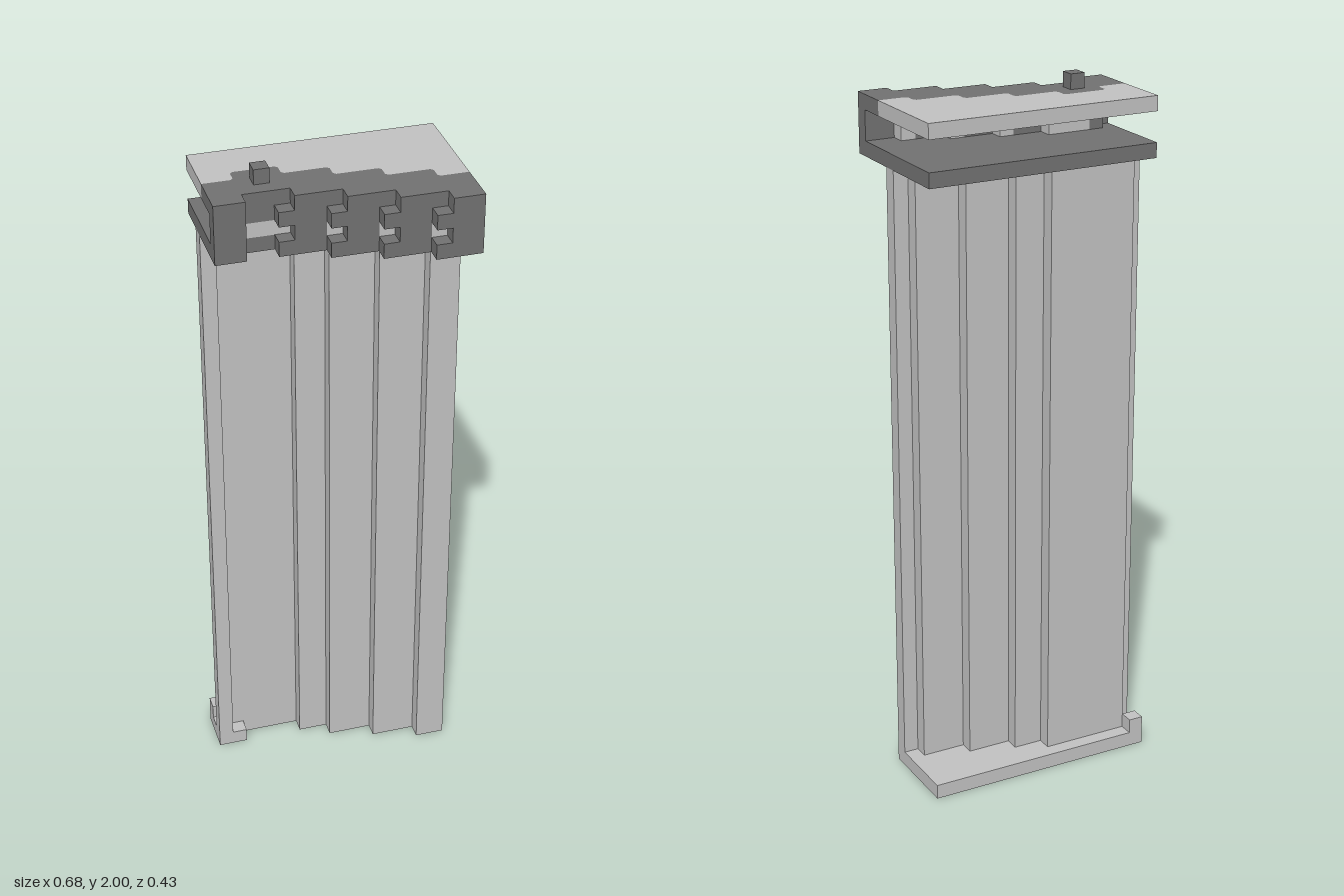
import * as THREE from 'three';

const U = 2 / 47; // one block: the model is 16 wide, 47 high, 10 deep

export function createModel() {
  const group = new THREE.Group();
  const light = new THREE.MeshStandardMaterial({ color: 0xbfbfbf });
  light.name = 'light grey';
  const dark = new THREE.MeshStandardMaterial({ color: 0x707070 });
  dark.name = 'dark grey';

  const add = (name, geo, mat) => {
    const mesh = new THREE.Mesh(geo, mat);
    mesh.name = name;
    group.add(mesh);
  };

  // box between block coordinates
  const box = (name, mat, x0, x1, y0, y1, z0, z1) => {
    const geo = new THREE.BoxGeometry((x1 - x0) * U, (y1 - y0) * U, (z1 - z0) * U);
    geo.translate(((x0 + x1) / 2 - 8) * U, ((y0 + y1) / 2) * U, ((z0 + z1) / 2 - 5) * U);
    add(name, geo, mat);
  };

  // stepped line across the width; each step is [end x, z], with optional cut corners
  const steps = (list, cut = 0) => {
    const pts = [[0, list[0][1]]];
    list.forEach(([x, z], k) => {
      if (k === list.length - 1) { pts.push([x, z]); return; }
      const next = list[k + 1][1], s = Math.sign(next - z) * cut;
      pts.push([x - cut, z]);
      if (cut) pts.push([x, z + s], [x, next - s]);
      pts.push([x + cut, next]);
    });
    return pts;
  };

  // flat slab between a back line and a front line
  const slab = (name, mat, y, back, front) => {
    const pts = [...front, ...[...back].reverse()];
    const shape = new THREE.Shape(pts.map(([x, z]) => new THREE.Vector2((x - 8) * U, (5 - z) * U)));
    const geo = new THREE.ExtrudeGeometry(shape, { depth: U, bevelEnabled: false });
    geo.rotateX(-Math.PI / 2);
    geo.translate(0, y * U, 0);
    add(name, geo, mat);
  };

  const rear = [[0, 0], [16, 0]];

  // base plate with a small corner block
  slab('basePlate', light, 0, rear, steps([[2, 3], [6, 2], [8, 3], [11, 4], [14, 5], [16, 6]]));
  box('baseCornerBlock', light, 0, 1, 1, 2, 0, 1);

  // tall stepped wall: x start, x end, back z
  for (const [x0, x1, z] of [[0, 1, 2], [1, 7, 1], [6, 9, 2], [8, 12, 3], [11, 15, 4], [14, 16, 5]])
    box('wallPanel', light, x0, x1, 1, 42, z, z + 1);

  // head floor
  slab('headFloor', dark, 42, rear, steps([[2, 7], [4, 6], [7, 7], [10, 8], [13, 9], [16, 10]]));

  // head front: lower course with openings backed by light blocks
  for (const [x0, x1, z] of [[0, 2, 6], [1, 2, 5], [5, 7, 6], [8, 10, 7], [11, 13, 8], [14, 16, 9]])
    box('headLowerCourse', dark, x0, x1, 43, 44, z, z + 1);
  for (const [x0, x1, z] of [[2, 5, 5], [7, 8, 6], [10, 11, 7], [13, 14, 8]])
    box('windowBlock', light, x0, x1, 43, 44, z, z + 1);

  // head front: upper course
  for (const [x0, x1, z] of [[0, 2, 6], [1, 5, 5], [4, 8, 6], [7, 11, 7], [10, 14, 8], [13, 16, 9]])
    box('headUpperCourse', dark, x0, x1, 44, 45, z, z + 1);

  // roof in two colours with a stepped seam
  const seam = steps([[2, 4], [5, 3], [8, 4], [11, 5], [14, 6], [16, 7]], 0.18);
  slab('roofRear', light, 45, rear, seam);
  slab('roofFront', dark, 45, seam, steps([[2, 7], [5, 6], [8, 7], [11, 8], [14, 9], [16, 10]]));

  // block on the roof
  box('roofKnob', dark, 3, 4, 46, 47, 4, 5);

  return group;
}
